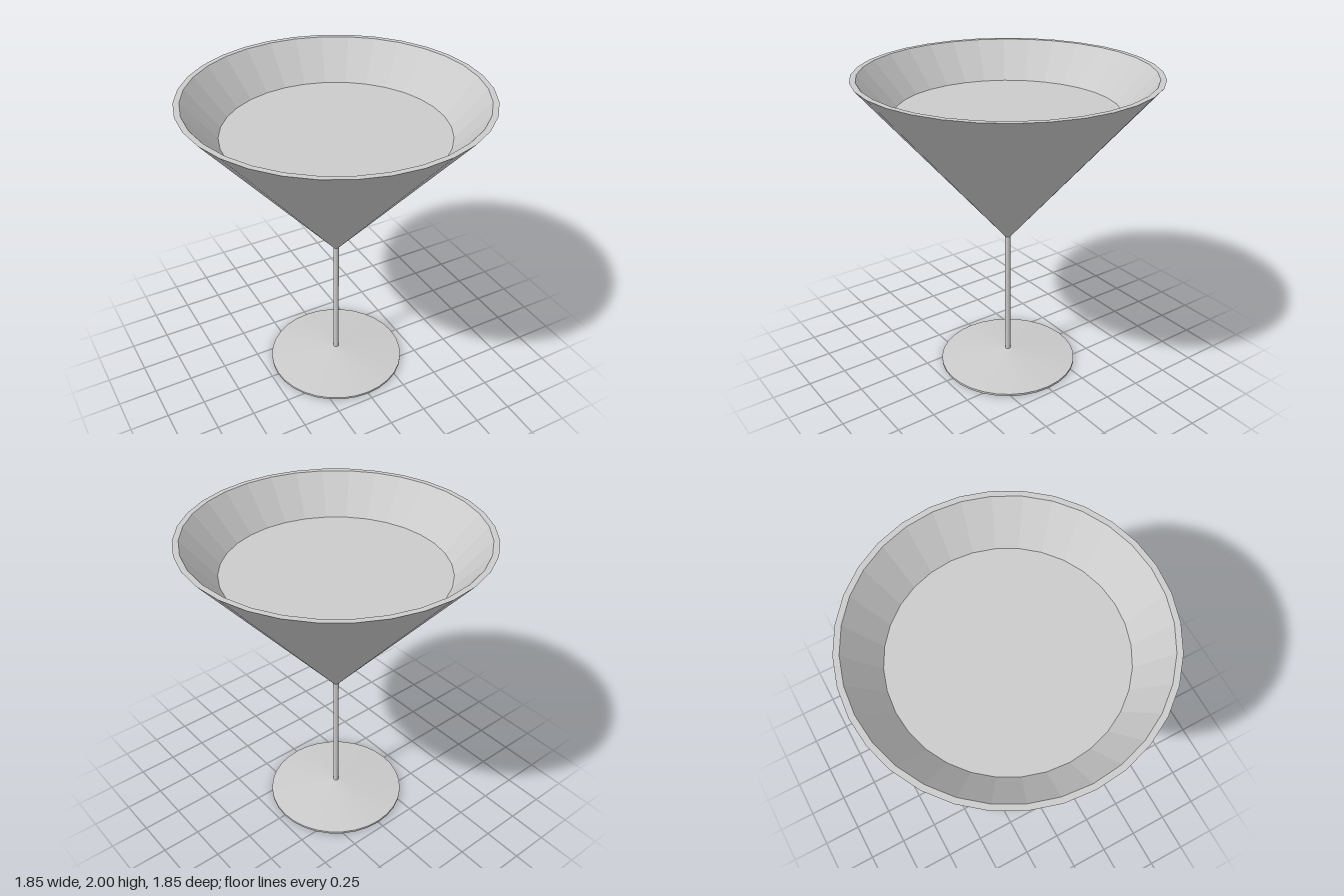
import * as THREE from 'three';

const SIDES = 32;

// Revolves a [radius, height] profile, listed from the bottom up the outside
function turned(name, profile) {
  const points = profile.map(([r, y]) => new THREE.Vector2(r, y));
  const mesh = new THREE.Mesh(
    new THREE.LatheGeometry(points, SIDES),
    new THREE.MeshStandardMaterial({ color: 0xcccccc, flatShading: true })
  );
  mesh.name = name;
  return mesh;
}

export function createModel() {
  const glass = new THREE.Group();
  glass.name = 'cocktailGlass';

  // Shallow conical foot with a thin rim and flat underside
  glass.add(turned('foot', [[0, 0], [0.455, 0], [0.455, 0.014], [0.018, 0.07]]));

  // Slender straight stem
  glass.add(turned('stem', [[0.018, 0.07], [0.018, 0.93]]));

  // Conical bowl: outer wall, flat lip, inner wall down to its point
  glass.add(turned('bowl', [[0.018, 0.93], [0.925, 2], [0.89, 2], [0, 0.95]]));

  // Drink filling the lower part of the bowl
  glass.add(turned('drink', [[0, 0.96], [0.69, 1.766], [0, 1.766]]));

  return glass;
}
